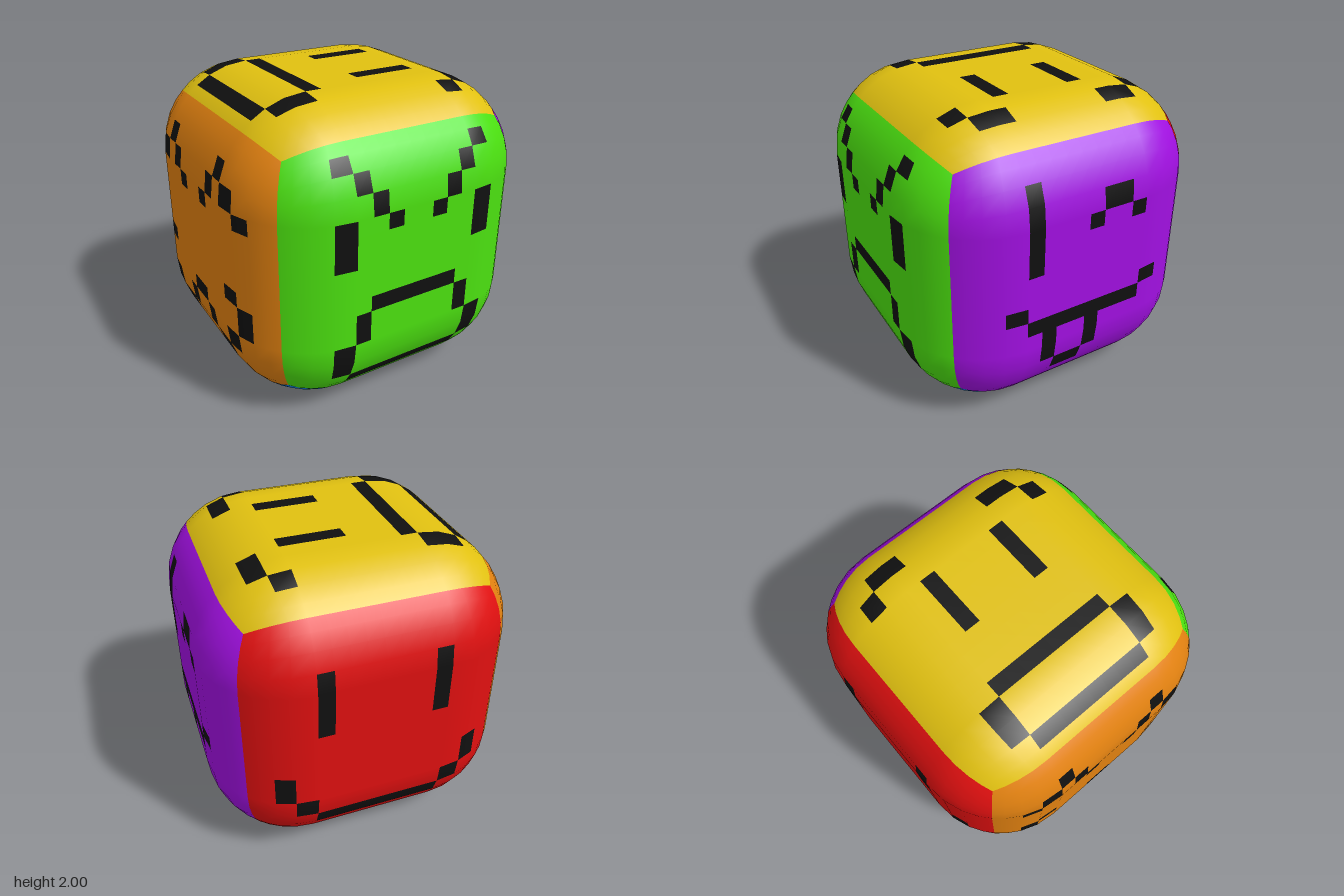
import * as THREE from 'three';

const FLAT = 0.416;   // half width of the flat middle of each side
const RADIUS = 0.584; // rounding of edges and corners
const GRID = 16;      // cells across one side; the inner half is flat
const HALF = GRID / 2;

// Marks are tests on a grid cell: a filled box, and a diagonal run of cells
const box = (u, v, w = 1, h = 1) => (i, j) => i >= u && i < u + w && j >= v && j < v + h;
const stairs = (u, v, count, step) => (i, j) => i >= u && i < u + count && j === v + step * (i - u);

// Folding cells onto one half makes a face symmetric
const fold = (k) => (k < 0 ? -1 - k : k);
const drawn = (...marks) => (i, j) => marks.some((mark) => mark(i, j));
const mirrorU = (...marks) => (i, j) => drawn(...marks)(fold(i), j);
const mirrorV = (...marks) => (i, j) => drawn(...marks)(i, fold(j));

const angryFace = mirrorU(
  stairs(1, 3, 4, 1), box(4, 1, 1, 3),                        // brow, eye
  box(0, -2, 3), box(3, -4, 1, 2), box(4, -6, 1, 2), box(0, -7, 4), // mouth
);

const winkingFace = drawn(
  box(-4, 1, 1, 5),                                           // open eye
  box(0, 3), box(1, 4, 2), box(3, 3),                         // wink
  box(-5, -2), box(4, -2), box(-4, -3, 8),                    // mouth
  box(-3, -5, 1, 2), box(0, -5, 1, 2), box(-2, -6, 2),        // tongue
);

const smilingFace = mirrorU(
  box(3, 1, 1, 4),                                            // eye
  box(5, -4, 1, 2), box(4, -5), box(0, -6, 4),                // mouth
);

const wavyFace = mirrorU(
  stairs(1, 3, 3, 1), stairs(4, 4, 2, -1),                    // arched eye
  stairs(0, -4, 2, -1), box(2, -6, 2), box(4, -5), box(5, -4, 1, 2), box(4, -2), // mouth
);

const shoutingFace = mirrorV(
  box(0, 2, 4), box(4, 5), box(5, 3, 1, 2),                   // eye, brow
  box(-7, 0, 1, 4), box(-4, 0, 1, 4), box(-6, 4, 2),          // mouth
);

const sadFace = mirrorV(
  box(0, 3, 4), box(6, 3), box(5, 4), box(4, 5, 1, 2),        // eye, brow
  box(-3, 0, 1, 2), box(-4, 2), box(-6, 3, 2),                // mouth
);

// One side of the rounded cube, facing +z: group 0 is skin, group 1 the marks
function sideGeometry(isMark) {
  const geometry = new THREE.PlaneGeometry(GRID, GRID, GRID, GRID);
  const { position, normal } = geometry.attributes;
  const flat = (p) => FLAT * THREE.MathUtils.clamp(p / 4, -1, 1);
  const slope = (p) => Math.sign(p) * Math.max(Math.abs(p) - 4, 0) / 4;

  // Bend the sheet: flat in the middle, curving back to the seams
  for (let k = 0; k < position.count; k++) {
    const u = position.getX(k), v = position.getY(k);
    const out = new THREE.Vector3(slope(u), slope(v), 1).normalize();
    const point = new THREE.Vector3(flat(u), flat(v), FLAT).addScaledVector(out, RADIUS);
    position.setXYZ(k, point.x, point.y, point.z);
    normal.setXYZ(k, out.x, out.y, out.z);
  }

  // Sort the cells, two triangles each, into skin and marks
  const skin = [], marks = [];
  for (let cell = 0; cell < GRID * GRID; cell++) {
    const i = cell % GRID - HALF;
    const j = HALF - 1 - Math.floor(cell / GRID);
    const list = isMark(i, j) ? marks : skin;
    for (let c = 0; c < 6; c++) list.push(geometry.index.getX(cell * 6 + c));
  }
  geometry.setIndex([...skin, ...marks]);
  geometry.addGroup(0, skin.length, 0);
  geometry.addGroup(skin.length, marks.length, 1);
  return geometry;
}

function makeMaterial(name, color) {
  const material = new THREE.MeshStandardMaterial({ color });
  material.name = name;
  return material;
}

export function createModel() {
  const black = makeMaterial('black', 0x101010);
  const model = new THREE.Group();
  model.name = 'moodCube';

  // Turn a side from the front by pitch and yaw, in quarter turns
  function addSide(name, isMark, material, pitch, yaw) {
    const side = new THREE.Mesh(sideGeometry(isMark), [material, black]);
    side.name = name;
    side.rotation.set(pitch * Math.PI / 2, yaw * Math.PI / 2, 0);
    side.position.y = 1;
    model.add(side);
  }

  addSide('angryFront', angryFace, makeMaterial('green', 0x4be010), 0, 0);
  addSide('winkingRightSide', winkingFace, makeMaterial('purple', 0xa010e0), 0, 1);
  addSide('smilingBack', smilingFace, makeMaterial('red', 0xe01010), 0, 2);
  addSide('wavyLeftSide', wavyFace, makeMaterial('orange', 0xe08010), 0, -1);
  addSide('shoutingTop', shoutingFace, makeMaterial('yellow', 0xe0c010), -1, 0);
  addSide('sadBottom', sadFace, makeMaterial('blue', 0x1080e0), 1, 0);
  return model;
}
